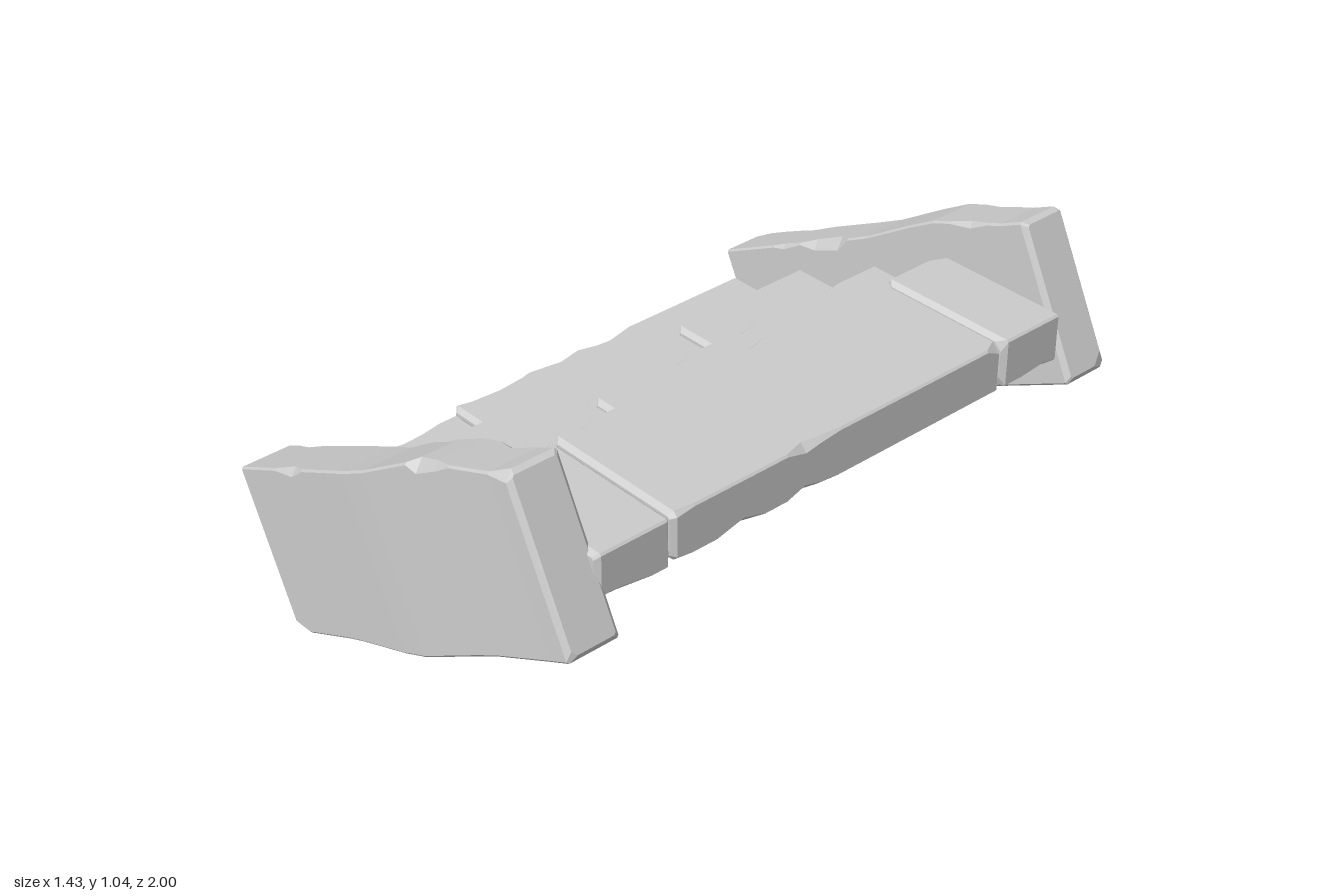
import * as THREE from 'three';

const mat = new THREE.MeshStandardMaterial({ color: 0xcccccc, flatShading: true, side: THREE.DoubleSide });

function seeded(seed) {
  let s = seed * 7919 + 17;
  return () => {
    s = (s * 16807) % 2147483647;
    return s / 2147483647;
  };
}

// Rough block along z: octagonal sections whose corner cuts vary, so edges look chipped.
// bulge(t) may add [top, bottom, right] offsets along the length (t from 0 to 1).
function stoneGeometry(w, h, len, seed, chip = 0.03, bulge = () => [0, 0, 0]) {
  const rnd = seeded(seed);
  for (let i = 0; i < 5; i++) rnd();
  const end = 0.014;
  const n = Math.max(3, Math.round(len / 0.075));
  const pos = [], idx = [];
  const stations = [0, end / len];
  for (let i = 1; i < n; i++) stations.push((i + (rnd() - 0.5) * 0.6) / n);
  stations.push(1 - end / len, 1);
  stations.forEach((t, j) => {
    const inset = j === 0 || j === stations.length - 1 ? end : 0;
    const [top, bottom, right] = bulge(t);
    const r = w / 2 - inset + right, l = -w / 2 + inset;
    const u = h / 2 - inset + top, d = -h / 2 + inset - bottom;
    const c = [0, 1, 2, 3].map(() => (rnd() < 0.22 ? chip * (0.4 + rnd() * 0.6) : 0.006));
    const ring = [
      [r - c[0], d], [r, d + c[0]], [r, u - c[1]], [r - c[1], u],
      [l + c[2], u], [l, u - c[2]], [l, d + c[3]], [l + c[3], d],
    ];
    ring.forEach(([x, y]) => pos.push(x, y, (t - 0.5) * len));
  });
  const last = (stations.length - 1) * 8;
  for (let j = 0; j < last; j += 8) {
    for (let i = 0; i < 8; i++) {
      const k = (i + 1) % 8;
      idx.push(j + i, j + k, j + 8 + k, j + i, j + 8 + k, j + 8 + i);
    }
  }
  for (let i = 1; i < 7; i++) idx.push(0, i + 1, i, last, last + i, last + i + 1);
  const g = new THREE.BufferGeometry();
  g.setAttribute('position', new THREE.Float32BufferAttribute(pos, 3));
  g.setIndex(idx);
  const flat = g.toNonIndexed();
  flat.computeVertexNormals();
  return flat;
}

// Broken piece: outline of [x, z] points raised from y0 to y1
function brokenGeometry(outline, y0, y1) {
  const b = 0.012;
  const shape = new THREE.Shape(outline.map(([x, z]) => new THREE.Vector2(x, -z)));
  const g = new THREE.ExtrudeGeometry(shape, {
    depth: y1 - y0 - 2 * b, bevelThickness: b, bevelSize: b, bevelOffset: -b, bevelSegments: 1,
  });
  return g.rotateX(-Math.PI / 2).translate(0, y0 + b, 0);
}

// Steps are shells: leave out the underside and, if wanted, the buried rear (+x) side
function openShell(g, dropRear) {
  const p = g.attributes.position, kept = [];
  const tri = new THREE.Triangle(), n = new THREE.Vector3();
  for (let i = 0; i < p.count; i += 3) {
    tri.setFromAttributeAndIndices(p, i, i + 1, i + 2).getNormal(n);
    if (n.y < -0.85 || (dropRear && n.x > 0.5)) continue;
    [tri.a, tri.b, tri.c].forEach((v) => kept.push(v.x, v.y, v.z));
  }
  const shell = new THREE.BufferGeometry();
  shell.setAttribute('position', new THREE.Float32BufferAttribute(kept, 3));
  shell.computeVertexNormals();
  return shell;
}

export function createModel() {
  const group = new THREE.Group();
  const add = (name, geometry) => {
    const m = new THREE.Mesh(geometry, mat);
    m.name = name;
    group.add(m);
  };

  // Sloping side walls, slightly swollen along the top and bottom edges
  const hump = (t, at, width) => Math.max(0, 1 - Math.abs(t - at) / width);
  const slope = Math.atan2(0.6, 1.2);
  const wall = (name, y, z, thick, height, len, seed, outward) => {
    const g = stoneGeometry(thick, height, len, seed, 0.035, (t) => [
      0.025 * hump(t, 0.5, 0.25), 0.03 * hump(t, 0.72, 0.22), outward * hump(t, 0.45, 0.5),
    ]);
    // Turned over, so the section's top is the wall's lower edge
    g.rotateY(-Math.PI / 2).rotateZ(Math.PI + slope).translate(0, y, z);
    add(name, g);
  };
  wall('frontWall', 0.524, 0.9, 0.165, 0.5, 1.36, 3, 0.018);
  wall('backWall', 0.532, -0.92, 0.16, 0.48, 1.345, 8, 0);

  // Steps: [bottom, top, stones as [xMin, xMax, zMin, zMax]]
  const steps = [
    [0.22, 0.37, [[-0.66, -0.2, -0.85, 0.286], [-0.62, -0.18, 0.296, 0.84]]],
    [0.37, 0.525, [[-0.37, 0.09, -0.85, -0.332], [-0.355, 0.1, -0.32, 0.84]]],
    [0.525, 0.672, [[-0.06, 0.38, -0.85, 0.249]]],
    [0.672, 0.822, [[0.2, 0.65, -0.85, -0.618], [0.185, 0.65, -0.61, 0.59], [0.2, 0.655, 0.598, 0.84]]],
  ];
  let seed = 20;
  steps.forEach(([y0, y1, stones], s) => {
    stones.forEach(([x0, x1, z0, z1], i) => {
      const g = stoneGeometry(x1 - x0, y1 - y0, z1 - z0, seed++);
      g.translate((x0 + x1) / 2, (y0 + y1) / 2, (z0 + z1) / 2);
      add(`step${s + 1}Stone${i + 1}`, openShell(g, s < 3));
    });
  });

  // Cracked stone in the third step and the fragment split from it
  const cracked = brokenGeometry(
    [[-0.085, 0.257], [0.38, 0.257], [0.38, 0.7], [0.2, 0.73], [0.08, 0.69], [0, 0.64], [-0.075, 0.55]],
    0.525, 0.672);
  add('crackedStone', openShell(cracked.toNonIndexed(), true));
  add('stoneFragment', brokenGeometry(
    [[-0.11, 0.83], [-0.1, 0.7], [-0.03, 0.65], [0.06, 0.7], [0.19, 0.745], [0.27, 0.74], [0.3, 0.83]],
    0.527, 0.65));

  return group;
}
